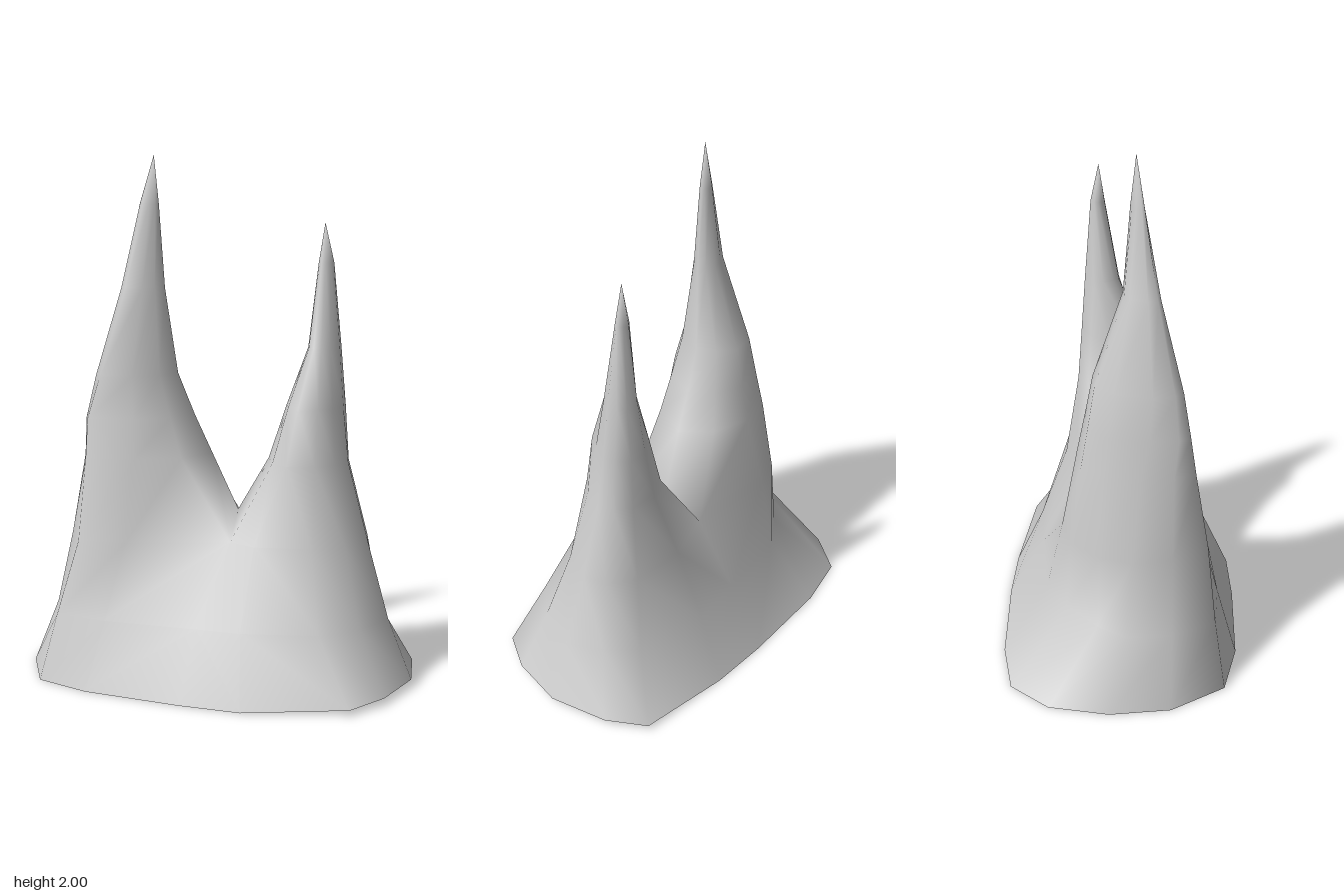
import * as THREE from 'three';
import { mergeVertices } from 'three/addons/utils/BufferGeometryUtils.js';

// A section is a height and a row of x, z pairs running from front to back round one side.
const section = (y, xz) => {
  const points = [];
  for (let i = 0; i < xz.length; i += 2) points.push(new THREE.Vector3(xz[i], y, xz[i + 1]));
  return points;
};

// Skirt sections: open halves that meet at the shared front and back points.
const rightSkirt = [
  section(0, [0, 0.463, -0.38, 0.458, -0.6, 0.405, -0.73, 0.2, -0.76, -0.03, -0.725, -0.26, -0.61, -0.41, -0.39, -0.455, 0, -0.465]),
  section(0.26, [0.03, 0.35, -0.33, 0.38, -0.54, 0.365, -0.62, 0.2, -0.64, 0.03, -0.57, -0.08, -0.45, -0.2, -0.32, -0.285, 0, -0.32]),
  section(0.55, [0.09, 0.15, -0.28, 0.3, -0.46, 0.332, -0.55, 0.2, -0.575, 0.05, -0.54, -0.07, -0.44, -0.18, -0.32, -0.22, 0.04, -0.18]),
];
const leftSkirt = [
  section(0, [0, 0.463, 0.24, 0.45, 0.62, 0.335, 0.71, 0.19, 0.76, -0.03, 0.71, -0.26, 0.62, -0.405, 0.24, -0.455, 0, -0.465]),
  section(0.26, [0.03, 0.35, 0.2, 0.34, 0.48, 0.26, 0.6, 0.14, 0.665, -0.03, 0.6, -0.16, 0.51, -0.275, 0.22, -0.34, 0, -0.32]),
  section(0.55, [0.09, 0.15, 0.2, 0.19, 0.41, 0.14, 0.52, 0.07, 0.575, -0.05, 0.55, -0.14, 0.46, -0.22, 0.24, -0.235, 0.04, -0.18]),
];
// The left end of the hem lifts slightly.
leftSkirt[0].forEach((p) => { p.y = 0.03 * Math.max(0, (p.x - 0.3) / 0.46); });

// Peak sections: closed loops whose last point faces the saddle.
const rightPeak = [
  section(0.86, [-0.11, 0.15, -0.27, 0.24, -0.45, 0.28, -0.49, 0.2, -0.505, 0.08, -0.48, -0.06, -0.41, -0.14, -0.28, -0.16, -0.13, -0.11, -0.04, 0]),
  section(1.01, [-0.16, 0.135, -0.28, 0.215, -0.45, 0.258, -0.475, 0.215, -0.485, 0.11, -0.455, -0.04, -0.39, -0.115, -0.28, -0.13, -0.17, -0.08, -0.11, 0.01]),
  section(1.17, [-0.21, 0.12, -0.3, 0.18, -0.41, 0.23, -0.44, 0.2, -0.46, 0.12, -0.43, -0.02, -0.37, -0.09, -0.28, -0.1, -0.21, -0.05, -0.175, 0.02]),
  section(1.5, [-0.24, 0.09, -0.28, 0.12, -0.34, 0.145, -0.36, 0.135, -0.37, 0.1, -0.35, 0.035, -0.31, 0.015, -0.27, 0.01, -0.23, 0.025, -0.215, 0.05]),
  section(1.82, [-0.245, 0.07, -0.265, 0.08, -0.29, 0.085, -0.3, 0.085, -0.305, 0.075, -0.3, 0.055, -0.28, 0.04, -0.26, 0.035, -0.242, 0.045, -0.236, 0.055]),
];
const leftPeak = [
  section(0.85, [0.23, 0.07, 0.3, 0.115, 0.4, 0.08, 0.46, 0.02, 0.49, -0.06, 0.475, -0.12, 0.42, -0.17, 0.32, -0.185, 0.23, -0.14, 0.178, -0.04]),
  section(1.06, [0.28, 0.04, 0.33, 0.075, 0.4, 0.045, 0.44, -0.01, 0.465, -0.07, 0.46, -0.12, 0.42, -0.165, 0.35, -0.17, 0.28, -0.13, 0.243, -0.06]),
  section(1.28, [0.335, -0.04, 0.36, -0.02, 0.39, -0.02, 0.42, -0.04, 0.445, -0.08, 0.44, -0.12, 0.42, -0.15, 0.37, -0.155, 0.335, -0.12, 0.32, -0.08]),
  section(1.6, [0.36, -0.085, 0.37, -0.075, 0.385, -0.075, 0.4, -0.085, 0.41, -0.1, 0.41, -0.11, 0.4, -0.125, 0.38, -0.13, 0.36, -0.115, 0.352, -0.1]),
];

const saddle = new THREE.Vector3(0.06, 0.64, -0.02);

export function createModel() {
  const positions = [];
  const triangle = (a, b, c, flip) => {
    for (const p of flip ? [a, c, b] : [a, b, c]) positions.push(p.x, p.y, p.z);
  };

  // Skin the strip between two neighbouring sections.
  const loft = (low, high, closed, flip) => {
    const n = low.length;
    for (let i = 0; i < (closed ? n : n - 1); i++) {
      const j = (i + 1) % n;
      triangle(low[i], high[i], low[j], flip);
      triangle(low[j], high[i], high[j], flip);
    }
  };

  const buildSide = (skirt, peak, apex, flip) => {
    for (let i = 1; i < skirt.length; i++) loft(skirt[i - 1], skirt[i], false, flip);
    // The saddle point closes the top of the skirt into the first peak loop.
    const loops = [[...skirt.at(-1), saddle], ...peak];
    for (let i = 1; i < loops.length; i++) loft(loops[i - 1], loops[i], true, flip);
    const top = loops.at(-1);
    top.forEach((p, i) => triangle(p, apex, top[(i + 1) % top.length], flip));
  };
  buildSide(rightSkirt, rightPeak, new THREE.Vector3(-0.255, 2, 0.055), false);
  buildSide(leftSkirt, leftPeak, new THREE.Vector3(0.377, 1.75, -0.098), true);

  // Weld both sides into one smooth open shell.
  let geometry = new THREE.BufferGeometry();
  geometry.setAttribute('position', new THREE.Float32BufferAttribute(positions, 3));
  geometry = mergeVertices(geometry, 1e-4);
  geometry.computeVertexNormals();

  const shell = new THREE.Mesh(
    geometry,
    new THREE.MeshStandardMaterial({ color: 0xcccccc, side: THREE.DoubleSide }),
  );
  shell.name = 'twinPeakShell';

  const group = new THREE.Group();
  group.name = 'twinPeaks';
  group.add(shell);
  return group;
}
